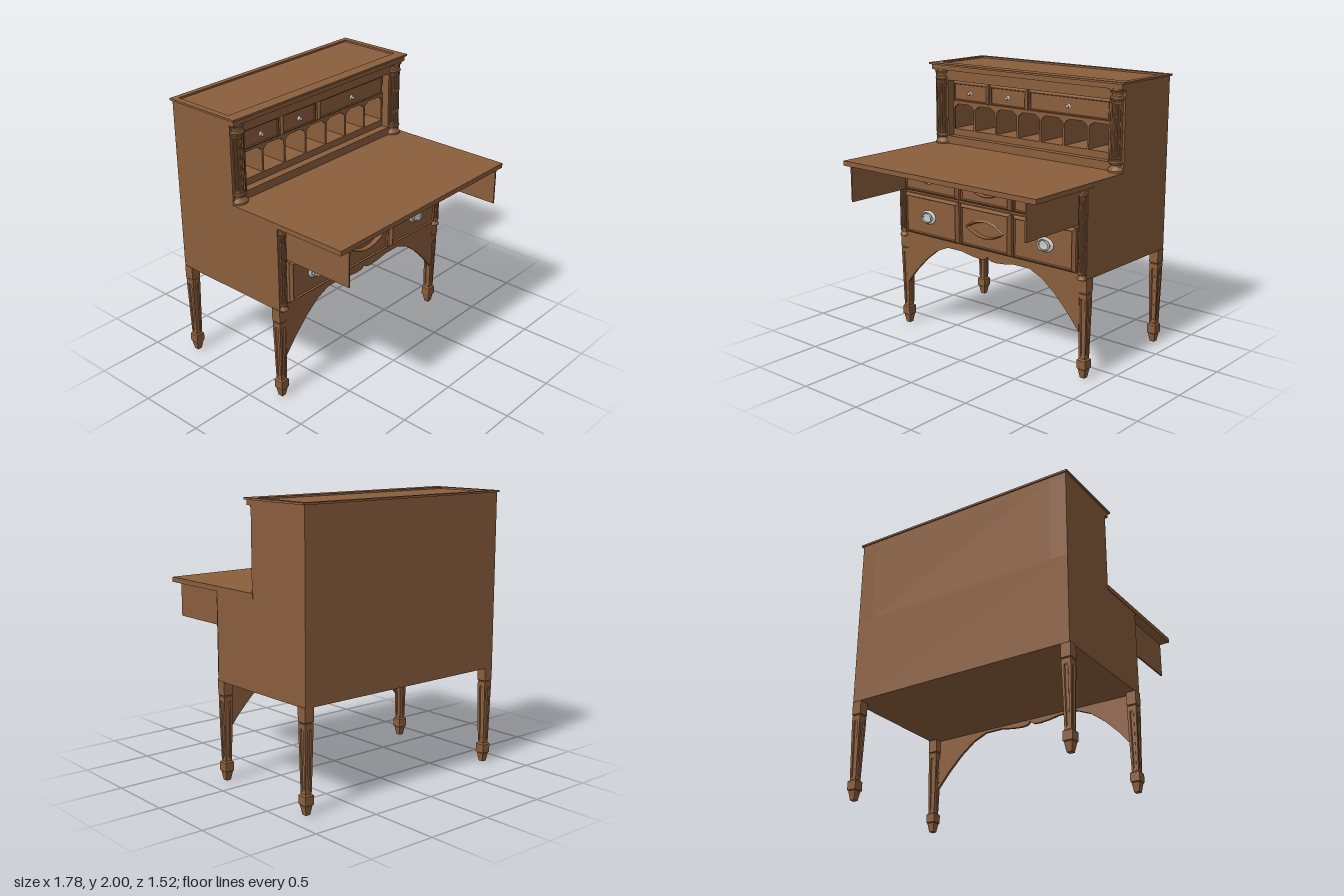
import * as THREE from 'three';

const wood = new THREE.MeshStandardMaterial({ color: 0x8b5e3c, flatShading: true });
const metal = new THREE.MeshStandardMaterial({ color: 0xcccccc });

// Joins matching outlines (counter-clockwise in xy) placed along z and closes both ends
function loft(sections) {
  const pos = [];
  const tri = (...p) => p.forEach(v => pos.push(...v));
  const rings = sections.map(([pts, z]) => pts.map(([x, y]) => [x, y, z]));
  const n = rings[0].length;
  const middle = r => [0, 1, 2].map(k => r.reduce((s, p) => s + p[k], 0) / n);
  const first = rings[0], last = rings[rings.length - 1];
  const c0 = middle(first), c1 = middle(last);
  for (let j = 0; j < n; j++) {
    const k = (j + 1) % n;
    for (let i = 0; i < rings.length - 1; i++) {
      const a = rings[i], b = rings[i + 1];
      tri(a[j], a[k], b[k]);
      tri(a[j], b[k], b[j]);
    }
    tri(c0, first[k], first[j]);
    tri(c1, last[j], last[k]);
  }
  const g = new THREE.BufferGeometry();
  g.setAttribute('position', new THREE.Float32BufferAttribute(pos, 3));
  g.computeVertexNormals();
  return g;
}
const upright = sections => loft(sections).rotateX(-Math.PI / 2);
const rect = (w, h) => [[-w, -h], [w, -h], [w, h], [-w, h]];

// Square outline with a groove of depth d down each side
function groovedSquare(h, d) {
  const pts = [];
  for (let s = 0; s < 4; s++) {
    const c = Math.round(Math.cos(s * Math.PI / 2)), n = Math.round(Math.sin(s * Math.PI / 2));
    const g = h * (1 - d);
    [[h, -h], [h, -0.45 * h], [g, -0.3 * h], [g, 0.3 * h], [h, 0.45 * h]]
      .forEach(([x, y]) => pts.push([x * c - y * n, x * n + y * c]));
  }
  return pts;
}

// Circle outline with hollow flutes
function flutedCircle(r, flutes) {
  return Array.from({ length: flutes * 4 }, (_, i) => {
    const a = i / (flutes * 4) * Math.PI * 2;
    const q = r * (i % 4 === 0 || i % 4 === 1 ? 1 : 0.88);
    return [q * Math.cos(a), q * Math.sin(a)];
  });
}

// Lens outline for the cut finger pulls
function lens(w, up, down, shift = 0) {
  const pts = [], n = 16;
  for (let i = 0; i < n; i++) {
    const t = -1 + 2 * i / n;
    pts.push([w * t, shift - down * (1 - t * t)]);
  }
  for (let i = 0; i < n; i++) {
    const t = 1 - 2 * i / n;
    pts.push([w * t, shift + up * (1 - t * t)]);
  }
  return pts;
}
const toPath = (pts, Kind) => new Kind(pts.map(p => new THREE.Vector2(...p)));

export function createModel() {
  const root = new THREE.Group();
  const add = (name, geo, x = 0, y = 0, z = 0, mat = wood, parent = root) => {
    const m = new THREE.Mesh(geo, mat);
    m.name = name;
    m.position.set(x, y, z);
    parent.add(m);
    return m;
  };
  // Box given by its limits
  const box = (name, x0, x1, y0, y1, z0, z1) =>
    add(name, new THREE.BoxGeometry(x1 - x0, y1 - y0, z1 - z0), (x0 + x1) / 2, (y0 + y1) / 2, (z0 + z1) / 2);

  // Carcass and pulled-out writing surface
  box('lowerCase', -0.875, 0.875, 0.715, 1.346, -0.75, 0.205);
  box('writingSurface', -0.88, 0.88, 1.345, 1.38, -0.21, 0.76);
  box('upperBack', -0.75, 0.75, 1.345, 1.97, -0.75, -0.56);
  box('pigeonholeBase', -0.75, 0.75, 1.345, 1.49, -0.56, -0.262);
  box('sill', -0.75, 0.75, 1.38, 1.44, -0.262, -0.2);
  box('upperDrawerCase', -0.75, 0.75, 1.69, 1.96, -0.56, -0.262);
  box('header', -0.75, 0.75, 1.87, 1.96, -0.262, -0.2);
  box('cornice', -0.875, 0.875, 1.95, 1.987, -0.75, -0.158);

  // Top with a sunken panel
  const top = toPath([[-0.89, 0.145], [0.89, 0.145], [0.89, 0.76], [-0.89, 0.76]], THREE.Shape);
  top.holes.push(toPath([[-0.845, 0.235], [-0.845, 0.72], [0.845, 0.72], [0.845, 0.235]], THREE.Path));
  add('topFrame', new THREE.ExtrudeGeometry(top, { depth: 0.014, bevelEnabled: false }).rotateX(-Math.PI / 2), 0, 1.986, 0);

  // Pigeonholes: face with seven openings, dividers behind
  const face = toPath([[-0.75, 1.44], [0.75, 1.44], [0.75, 1.71], [-0.75, 1.71]], THREE.Shape);
  for (let i = 0; i < 7; i++) {
    const x = (i - 3) * 0.2125, w = 0.098;
    const h = new THREE.Path();
    h.moveTo(x - w, 1.49);
    h.lineTo(x - w, 1.65);
    h.quadraticCurveTo(x - w + 0.01, 1.672, x - w + 0.045, 1.685);
    h.lineTo(x + w - 0.045, 1.685);
    h.quadraticCurveTo(x + w - 0.01, 1.672, x + w, 1.65);
    h.lineTo(x + w, 1.49);
    h.closePath();
    face.holes.push(h);
    if (i) box('pigeonholeDivider', x - 0.1125, x - 0.1, 1.48, 1.7, -0.56, -0.262);
  }
  add('pigeonholeFace', new THREE.ExtrudeGeometry(face, { depth: 0.012, bevelEnabled: false }), 0, 0, -0.27);

  // Drawer front: moulded border round a flat panel, optionally with a lens-shaped finger pull
  function drawer(name, x0, x1, y0, y1, z, e, depth, cut) {
    const g = new THREE.Group();
    g.name = name;
    g.position.set((x0 + x1) / 2, (y0 + y1) / 2, z);
    root.add(g);
    const w = (x1 - x0) / 2, h = (y1 - y0) / 2, lip = depth * 0.72;
    const ring = s => rect(w - s, h - s);
    const sections = [[ring(0), 0], [ring(0), depth * 0.5], [ring(e * 0.3), depth * 0.6], [ring(e * 0.8), depth],
      [ring(e), depth], [ring(e * 1.2), lip]];
    if (cut) sections.push([ring(e * 1.2), 0.001]);
    add('drawerMoulding', loft(sections), 0, 0, 0, wood, g);
    if (cut) {
      const panel = toPath(rect(w - e * 1.2, h - e * 1.2), THREE.Shape);
      const edge = lens(0.183, 0.07, 0.066);
      panel.holes.push(toPath(edge.slice().reverse(), THREE.Path));
      add('drawerPanel', new THREE.ShapeGeometry(panel), 0, 0, lip, wood, g);
      add('fingerPull', loft([[edge, lip], [lens(0.172, 0.058, 0.058, -0.002), lip + 0.008],
        [lens(0.165, 0.048, 0.052, -0.003), 0.004]]), 0, 0, 0, wood, g);
    }
    return g;
  }
  for (const [y0, y1] of [[0.755, 1.067], [1.085, 1.345]]) {
    drawer('centreDrawer', -0.238, 0.238, y0, y1, 0.205, 0.022, 0.042, true);
    for (const s of [-1, 1]) {
      const x = s * 0.527;
      drawer('sideDrawer', x - 0.27, x + 0.27, y0, y1, 0.205, 0.022, 0.042, false);
      // Oval metal pull: stepped plate, dished centre and raised ring
      const pull = new THREE.Group();
      pull.name = 'ovalPull';
      pull.position.set(s * 0.55, y0 < 1 ? 0.91 : 1.215, 0.235);
      pull.scale.set(1, 0.74, 1);
      root.add(pull);
      const plate = [[0.07, 0], [0.07, 0.006], [0.062, 0.012], [0.052, 0.013], [0.046, 0.008], [0, 0.008]]
        .map(p => new THREE.Vector2(...p));
      add('pullPlate', new THREE.LatheGeometry(plate, 32).rotateX(Math.PI / 2), 0, 0, 0, metal, pull);
      add('pullRing', new THREE.TorusGeometry(0.048, 0.007, 8, 32), 0, 0, 0.026, metal, pull);
      for (const p of [-1, 1])
        add('pullPost', new THREE.CylinderGeometry(0.006, 0.006, 0.03, 10).rotateX(Math.PI / 2), p * 0.048, 0, 0.012, metal, pull);
    }
  }

  // Small upper drawers with knobs
  const knob = [[0.017, 0], [0.017, 0.004], [0.008, 0.006], [0.007, 0.014], [0.013, 0.018], [0.011, 0.024], [0, 0.026]]
    .map(p => new THREE.Vector2(...p));
  for (const [x0, x1] of [[-0.735, -0.38], [-0.362, -0.008], [0.01, 0.73]]) {
    drawer('upperDrawer', x0, x1, 1.705, 1.862, -0.264, 0.018, 0.026, false);
    add('knob', new THREE.LatheGeometry(knob, 16).rotateX(Math.PI / 2), (x0 + x1) / 2, 1.78, -0.246, metal);
  }

  // Fluted column with turned base and capital
  function column(name, x, z, y0, y1, r, R, end, flutes) {
    const g = new THREE.Group();
    g.name = name;
    g.position.set(x, 0, z);
    root.add(g);
    const shaft = flutedCircle(r, flutes);
    add('flutedShaft', upright([[shaft, y0 + end * 0.8], [shaft, y1 - end * 0.8]]), 0, 0, 0, wood, g);
    const prof = [[0, 0], [R, 0], [R, 0.12], [R * 0.9, 0.2], [R * 0.72, 0.38], [R * 0.72, 0.5], [R * 0.86, 0.56],
      [R * 0.92, 0.66], [R * 0.86, 0.76], [R * 0.76, 0.8], [R * 0.76, 0.88], [R * 0.84, 0.92], [R * 0.84, 1], [0, 1]];
    const turned = new THREE.LatheGeometry(prof.map(([a, b]) => new THREE.Vector2(a, b * end)), 24);
    add('turnedBase', turned, 0, y0, 0, wood, g);
    add('turnedCapital', turned, 0, y1, 0, wood, g).rotation.x = Math.PI;
  }

  // Tapered leg with grooved faces and a block foot: height, half width, groove depth
  const legGeo = upright([[0, 0.018, 0], [0.065, 0.029, 0], [0.07, 0.035, 0], [0.132, 0.035, 0], [0.142, 0.025, 0],
    [0.15, 0.025, 0], [0.17, 0.026, 0.22], [0.56, 0.034, 0.22], [0.58, 0.034, 0], [0.61, 0.034, 0], [0.614, 0.03, 0],
    [0.62, 0.036, 0], [0.72, 0.036, 0]].map(([y, h, d]) => [groovedSquare(h, d), y]));

  for (const s of [-1, 1]) {
    box('upperSide', s * 0.81 - 0.065, s * 0.81 + 0.065, 1.345, 1.987, -0.75, -0.2);
    box('surfaceSupport', s * 0.8 - 0.006, s * 0.8 + 0.006, 1.088, 1.346, 0.2, 0.76);
    column('upperColumn', s * 0.81, -0.215, 1.38, 1.952, 0.052, 0.065, 0.1, 16);
    column('lowerColumn', s * 0.84, 0.206, 0.715, 1.345, 0.031, 0.035, 0.07, 12);
    add('frontLeg', legGeo, s * 0.843, 0, 0.172);
    add('backLeg', legGeo, s * 0.843, 0, -0.711);
  }

  // Shaped apron between the front legs
  const half = [[0.82, 0.335], [0.72, 0.455], [0.61, 0.565], [0.5, 0.65], [0.39, 0.697], [0.25, 0.698], [0.16, 0.682],
    [0.08, 0.674], [0.03, 0.678], [0.012, 0.69]];
  const outline = [...half, [0, 0.704], ...half.map(([x, y]) => [-x, y]).reverse(), [-0.82, 0.75], [0.82, 0.75]];
  add('apron', new THREE.ExtrudeGeometry(toPath(outline, THREE.Shape), { depth: 0.02, bevelEnabled: false }), 0, 0, 0.187);

  return root;
}
